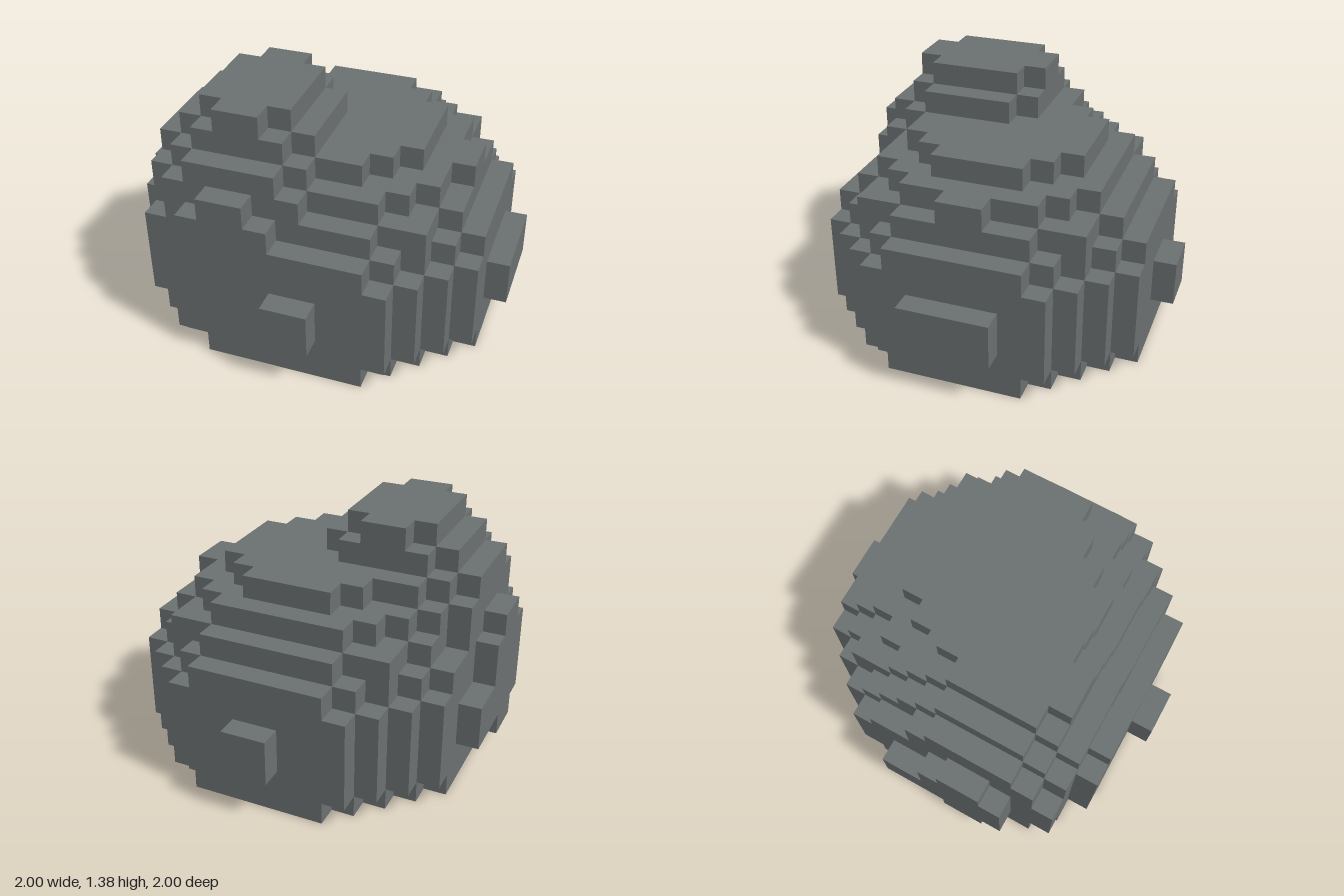
import * as THREE from 'three';
import { mergeGeometries } from 'three/addons/utils/BufferGeometryUtils.js';

const S = 0.125; // edge of one block

// Block-stepped boulder: two ellipsoids sampled on a grid and cut flat at the ground
const inside = (x, y, z, c, r) =>
  ((x - c[0]) / r[0]) ** 2 + ((y - c[1]) / r[1]) ** 2 + ((z - c[2]) / r[2]) ** 2 <= 1;
const inDome = (x, y, z) => y > 0 && inside(x, y, z, [0, 0.375, 0], [0.965, 0.806, 0.95]);
const inHump = (x, y, z) => y > 0 && inside(x, y, z, [-0.375, 0.5, 0.25], [0.6158, 0.9338, 0.6516]);
const solid = (x, y, z) => inDome(x, y, z) || inHump(x, y, z);

// One square per direction, already pushed out to the side of a block
const sides = [
  [0, 0, 1, 0, 0], [0, 0, -1, 0, Math.PI],
  [1, 0, 0, 0, Math.PI / 2], [-1, 0, 0, 0, -Math.PI / 2],
  [0, 1, 0, -Math.PI / 2, 0], [0, -1, 0, Math.PI / 2, 0],
].map(([x, y, z, rx, ry]) => ({
  dir: [x * S, y * S, z * S],
  face: new THREE.PlaneGeometry(S, S).rotateX(rx).rotateY(ry)
    .translate(x * S / 2, y * S / 2, z * S / 2),
}));

// Collects only the outward squares of the blocks that belong to a part
function blockMesh(name, belongs, material) {
  const faces = [];
  for (let i = -8; i < 8; i++) for (let j = 0; j < 11; j++) for (let k = -8; k < 8; k++) {
    const [x, y, z] = [i, j, k].map((n) => (n + 0.5) * S);
    if (!belongs(x, y, z)) continue;
    for (const { dir, face } of sides) {
      if (!solid(x + dir[0], y + dir[1], z + dir[2])) faces.push(face.clone().translate(x, y, z));
    }
  }
  const mesh = new THREE.Mesh(mergeGeometries(faces), material);
  mesh.name = name;
  return mesh;
}

export function createModel() {
  const group = new THREE.Group();
  group.name = 'boulder';
  const stone = new THREE.MeshStandardMaterial({ color: 0x6b7070 });
  // Wide low dome, and the taller hump on its right front
  group.add(blockMesh('dome', inDome, stone));
  group.add(blockMesh('hump', (x, y, z) => inHump(x, y, z) && !inDome(x, y, z), stone));
  return group;
}
